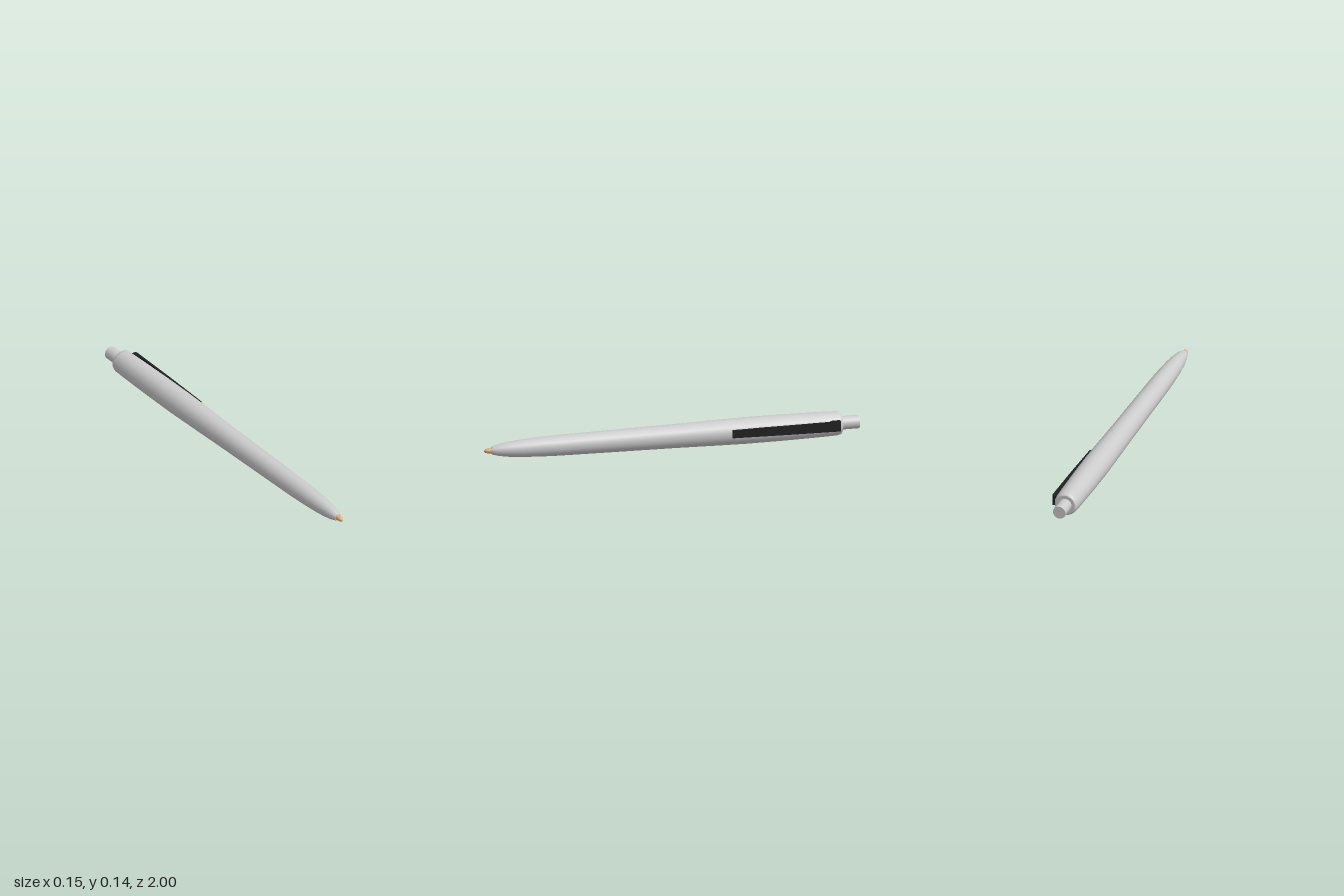
import * as THREE from 'three';

const SIDES = 16;
const grey = () => new THREE.MeshStandardMaterial({ color: 0xcccccc });

// Surface of revolution along z; profile is [radius, z] from back to front.
// A repeated point makes a sharp edge.
function turned(name, profile, material) {
  const points = profile.map(([r, z]) => new THREE.Vector2(r, z));
  const geometry = new THREE.LatheGeometry(points, SIDES, Math.PI / SIDES);
  geometry.rotateX(Math.PI / 2);
  const mesh = new THREE.Mesh(geometry, material);
  mesh.name = name;
  return mesh;
}

export function createModel() {
  const pen = new THREE.Group();
  pen.name = 'pen';

  // Barrel: rounded back rim, widest behind the middle, tapered nose
  pen.add(turned('barrel', [
    [0, -0.905], [0.052, -0.905], [0.052, -0.905], [0.059, -0.9], [0.063, -0.885],
    [0.0655, -0.8], [0.0685, -0.6], [0.0693, -0.4], [0.066, -0.2],
    [0.062, 0], [0.0575, 0.35], [0.054, 0.6], [0.051, 0.7], [0.0455, 0.8],
    [0.039, 0.87], [0.031, 0.92], [0.023, 0.95], [0.0185, 0.96], [0.0185, 0.96], [0, 0.962],
  ], grey()));

  // Push button at the back
  pen.add(turned('pushButton', [
    [0, -1], [0.034, -1], [0.034, -1], [0.035, -0.995], [0.035, -0.9],
  ], grey()));

  // Writing tip
  pen.add(turned('writingTip', [
    [0.0155, 0.955], [0.0145, 0.968], [0.0125, 0.983], [0.008, 0.995], [0, 1],
  ], new THREE.MeshStandardMaterial({ color: 0xd9b078 })));

  // Clip: wedge outline in x and z, extruded across y, narrowing to the front
  const outline = new THREE.Shape();
  [[0.055, 0.31], [0.073, 0.31], [0.0785, 0.6], [0.08, 0.875], [0.077, 0.885], [0.05, 0.885],
    [0.05, 0.84], [0.07, 0.83], [0.066, 0.6]]
    .forEach(([x, z], i) => (i ? outline.lineTo(x, z) : outline.moveTo(x, z)));
  const clipGeometry = new THREE.ExtrudeGeometry(outline, { depth: 0.054, bevelEnabled: false });
  clipGeometry.translate(0, 0, -0.027);
  clipGeometry.rotateX(-Math.PI / 2);
  const p = clipGeometry.attributes.position;
  for (let i = 0; i < p.count; i++) {
    const t = (-p.getZ(i) - 0.31) / 0.575;
    p.setY(i, p.getY(i) * (0.76 + 0.24 * t) + 0.006);
  }
  clipGeometry.computeVertexNormals();
  const clip = new THREE.Mesh(clipGeometry, new THREE.MeshStandardMaterial({ color: 0x202020 }));
  clip.name = 'clip';
  pen.add(clip);

  // The pen lies at a very slight angle
  pen.rotation.y = -0.0075;
  pen.position.set(-0.01, 0.068, 0);

  const model = new THREE.Group();
  model.add(pen);
  return model;
}
